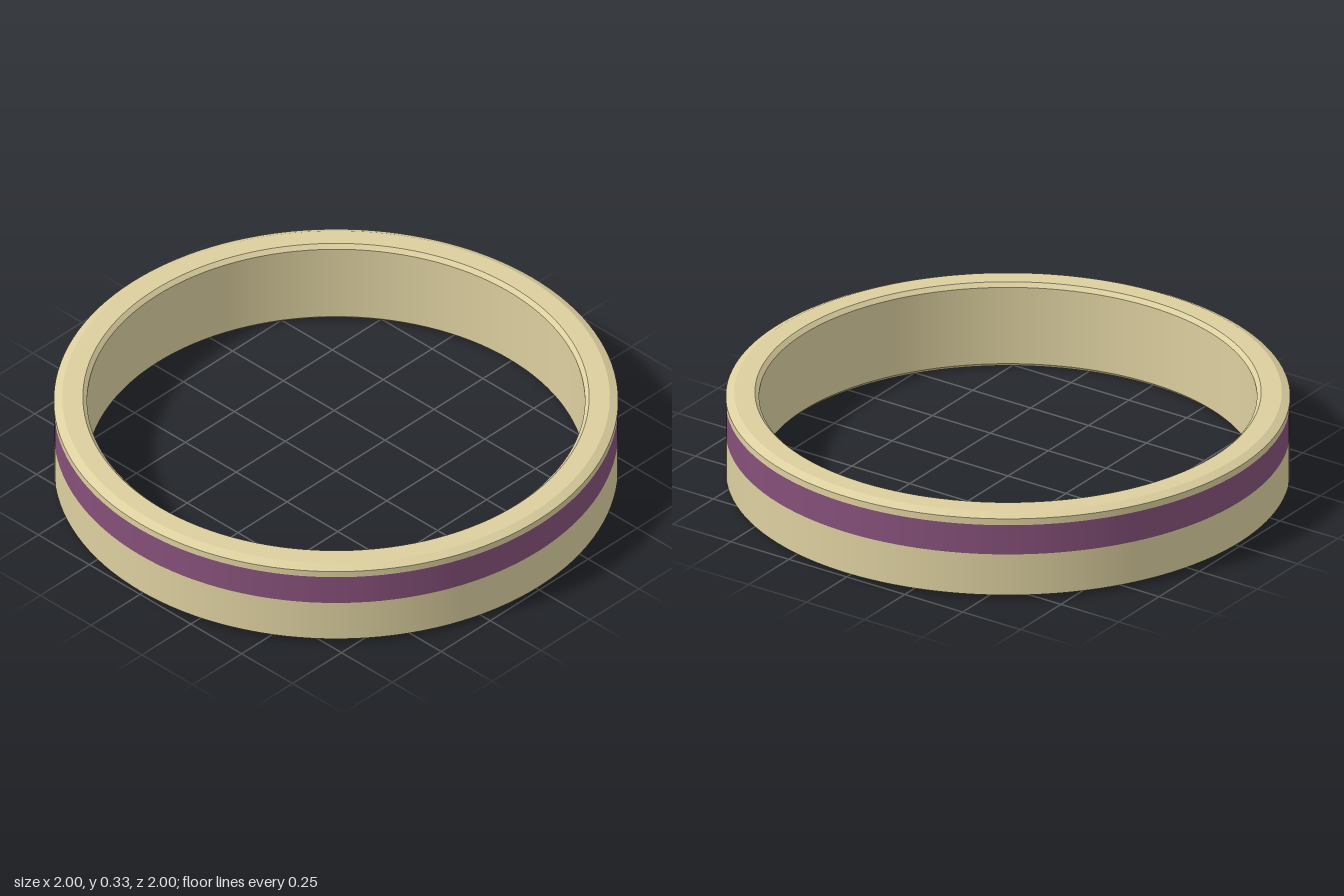
import * as THREE from 'three';
import { mergeGeometries } from 'three/addons/utils/BufferGeometryUtils.js';

const SEGMENTS = 128;

// Each straight run of the profile is its own band, so the edges between runs stay crisp.
function bands(points) {
  const list = [];
  for (let i = 0; i < points.length - 1; i++) {
    const run = [points[i], points[i + 1]].map(([r, y]) => new THREE.Vector2(r, y));
    list.push(new THREE.LatheGeometry(run, SEGMENTS));
  }
  return mergeGeometries(list);
}

export function createModel() {
  const cream = new THREE.MeshStandardMaterial({ color: 0xdccf9f });
  cream.name = 'cream';
  const purple = new THREE.MeshStandardMaterial({ color: 0x855079 });
  purple.name = 'purple';

  const group = new THREE.Group();
  group.name = 'bangle';
  const add = (name, points, material) => {
    const mesh = new THREE.Mesh(bands(points), material);
    mesh.name = name;
    group.add(mesh);
  };

  const outer = 1, inner = 0.882, height = 0.33;
  const stripeLow = 0.175, stripeHigh = 0.29;

  // Band body: up from the stripe, over the bevelled rim, down the inside and back out
  add('ringBody', [
    [outer, stripeHigh],
    [outer, height - 0.015],
    [0.97, height],
    [0.897, height],
    [inner, height - 0.015],
    [inner, 0.015],
    [0.897, 0],
    [0.97, 0],
    [outer, 0.015],
    [outer, stripeLow],
  ], cream);

  // Coloured stripe set flush in the outer wall
  add('stripe', [[outer, stripeLow], [outer, stripeHigh]], purple);

  return group;
}
